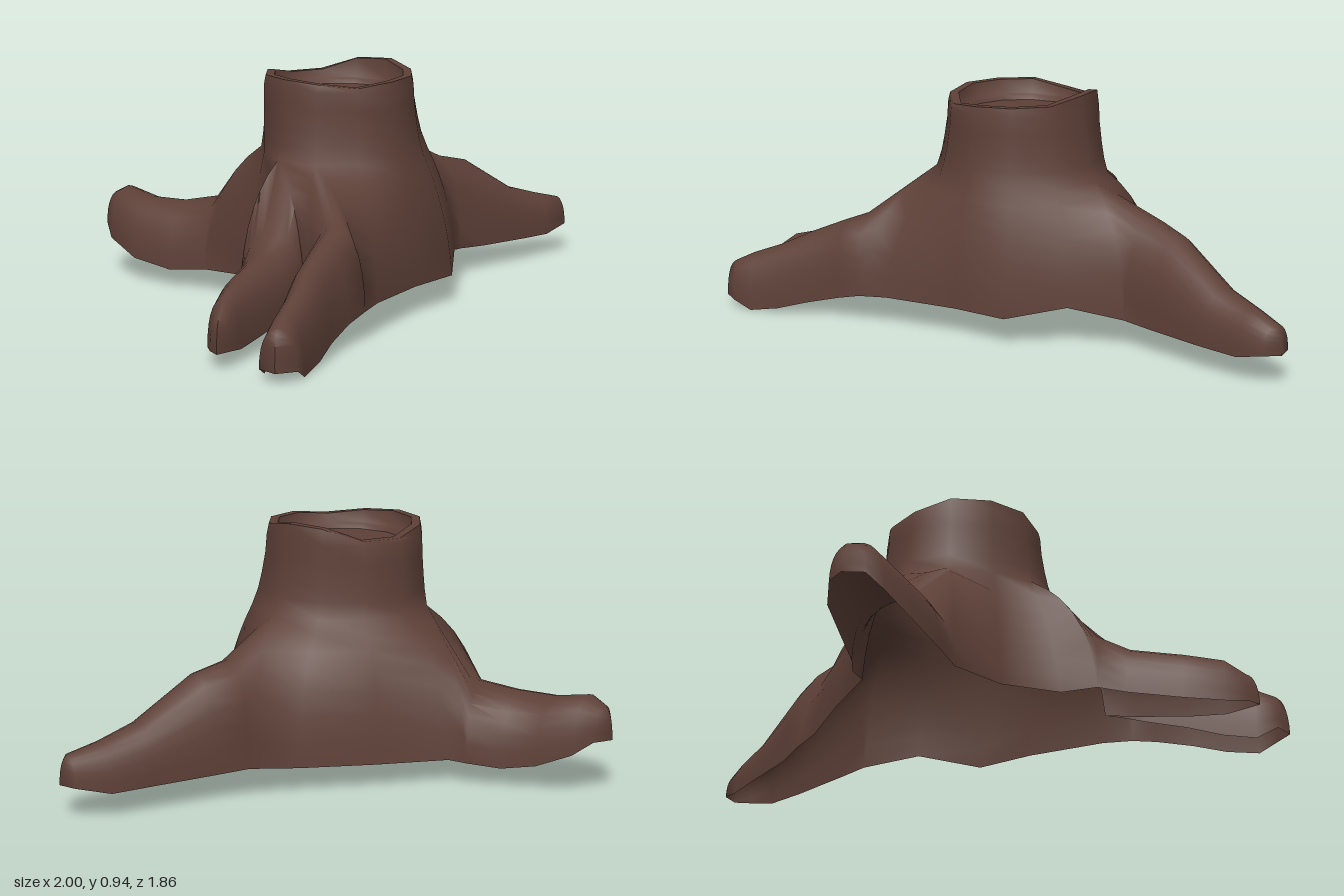
import * as THREE from 'three';
import { toCreasedNormals } from 'three/addons/utils/BufferGeometryUtils.js';

const bark = new THREE.MeshStandardMaterial({ color: 0x5d4037, side: THREE.DoubleSide });
bark.name = 'bark brown';

const SIDES = 12, RADIUS = 0.302;
const V = (x, y, z) => new THREE.Vector3(x, y, z);

// Point around the trunk axis; step 0 is +x, step 3 is +z
const around = (j, r, y) => {
  const t = j / SIDES * Math.PI * 2;
  return V(-0.16 + r * Math.cos(t), y, -0.16 + r * Math.sin(t));
};

// Collar where the roots leave the trunk
const collarRadius = [0.36, 0.34, 0.34, 0.35, 0.35, 0.33, 0.305, 0.325, 0.34, 0.335, 0.34, 0.36];
const collar = collarRadius.map((r, j) => around(j, r, 0.6));

// A rib of the skirt: curve from a ground edge to a top point, bent by out and up
function rib(top, edge, out, up) {
  const bend = V(
    THREE.MathUtils.lerp(top.x, edge.x, out),
    THREE.MathUtils.lerp(edge.y, top.y, up),
    THREE.MathUtils.lerp(top.z, edge.z, out));
  return new THREE.QuadraticBezierCurve3(edge, bend, top).getPoints(7);
}

// Rib of the trunk foot between roots
const wall = (j, foot, low, up) => rib(collar[j], around(j, foot, low), 0.85, up);

// Ribs of one root: out along one side, round the tip, back along the other.
// Each section is [x, z, ridge height, width, edge height].
function root(j, tipLength, sections) {
  const near = [], far = [];
  let tip;
  sections.forEach(([x, z, high, width, low], i) => {
    const before = sections[Math.max(i - 1, 0)];
    const after = sections[Math.min(i + 1, sections.length - 1)];
    const dir = V(after[0] - before[0], 0, after[1] - before[1]).normalize();
    const across = V(-dir.z, 0, dir.x);
    const top = V(x, high, z), ground = V(x, low, z);
    const edge = s => ground.clone().addScaledVector(across, s * width / 2);
    if (i === 0) {
      near.push(rib(collar[j], edge(-1), 0.9, 0.72));
      far.push(rib(collar[j], edge(1), 0.9, 0.72));
    }
    near.push(rib(top, edge(-1), 0.97, 0.93));
    far.push(rib(top, edge(1), 0.97, 0.93));
    tip = rib(top, ground.addScaledVector(dir, tipLength), 0.97, 0.9);
  });
  return [...near, tip, ...far.reverse()];
}

// All ribs in order around the stump
function makeRibs() {
  const frontRoot = root(4, 0.045, [
    [-0.325, 0.435, 0.43, 0.24, 0.115],
    [-0.39, 0.515, 0.39, 0.2, 0.09],
    [-0.475, 0.63, 0.33, 0.18, 0.055],
    [-0.54, 0.74, 0.27, 0.165, 0.02],
    [-0.61, 0.84, 0.225, 0.15, 0],
    [-0.645, 0.905, 0.19, 0.14, 0.04],
  ]);
  const frontSideRoot = root(5, 0.045, [
    [-0.525, 0.245, 0.37, 0.26, 0.115],
    [-0.585, 0.345, 0.31, 0.23, 0.095],
    [-0.71, 0.5, 0.265, 0.175, 0.06],
    [-0.78, 0.62, 0.235, 0.125, 0.05],
    [-0.81, 0.69, 0.18, 0.07, 0.06],
  ]);
  const leftRearRoot = root(7, 0.04, [
    [-0.58, -0.54, 0.36, 0.36, 0.09],
    [-0.705, -0.61, 0.335, 0.32, 0.075],
    [-0.82, -0.715, 0.335, 0.28, 0.1],
    [-0.91, -0.825, 0.365, 0.225, 0.16],
    [-0.95, -0.87, 0.335, 0.14, 0.21],
  ]);
  const rightRearRoot = root(11, 0.035, [
    [0.36, -0.51, 0.485, 0.32, 0.115],
    [0.485, -0.55, 0.455, 0.27, 0.105],
    [0.71, -0.63, 0.31, 0.225, 0.1],
    [0.85, -0.685, 0.265, 0.18, 0.095],
    [0.965, -0.715, 0.235, 0.125, 0.125],
  ]);
  return [
    wall(0, 0.48, 0.16, 0.55), wall(1, 0.46, 0.115, 0.55), wall(2, 0.42, 0.115, 0.55), wall(3, 0.58, 0.12, 0.65),
    ...frontRoot,
    ...frontSideRoot,
    wall(5, 0.46, 0.11, 0.5), wall(6, 0.385, 0.11, 0.35),
    ...leftRearRoot,
    wall(8, 0.56, 0.09, 0.7), wall(9, 0.495, 0.095, 0.7), wall(10, 0.565, 0.1, 0.72),
    ...rightRearRoot,
  ];
}

// Trunk rings from the collar up, over the chipped rim and into the hollow
function makeTrunkRings() {
  const rim = [0.91, 0.905, 0.9, 0.885, 0.9, 0.91, 0.91, 0.91, 0.885, 0.885, 0.93, 0.935];
  const ring = (radius, height) => collar.map((_, j) => around(j, radius(j), height(j)));
  const flare = (y, share) => ring(j => RADIUS + (collarRadius[j] - RADIUS) * share, () => y);
  const level = (r, y) => ring(() => r, () => y);
  const edge = r => ring(() => r, j => rim[j]);
  return [
    collar, flare(0.66, 0.6), flare(0.72, 0.35), flare(0.8, 0.1), flare(0.87, 0),
    edge(0.294), edge(0.26),
    level(0.25, 0.855), level(0.238, 0.85), level(0.228, 0.83), level(0, 0.83),
  ];
}

// Add the triangles between successive closed rings
function skin(rings, points) {
  const n = rings[0].length;
  for (let i = 0; i < rings.length - 1; i++) {
    for (let j = 0; j < n; j++) {
      const k = (j + 1) % n;
      const a = rings[i][j], b = rings[i + 1][j], c = rings[i + 1][k], d = rings[i][k];
      points.push(a, b, c, a, c, d);
    }
  }
}

export function createModel() {
  const stump = new THREE.Group();
  stump.name = 'treeStump';
  const ribs = makeRibs();
  const points = [];
  skin(ribs[0].map((_, i) => ribs.map(r => r[i])), points);
  skin(makeTrunkRings(), points);
  const geometry = new THREE.BufferGeometry().setFromPoints(points);
  const shell = new THREE.Mesh(toCreasedNormals(geometry, 1.1), bark);
  shell.name = 'trunkAndRoots';
  stump.add(shell);
  return stump;
}
